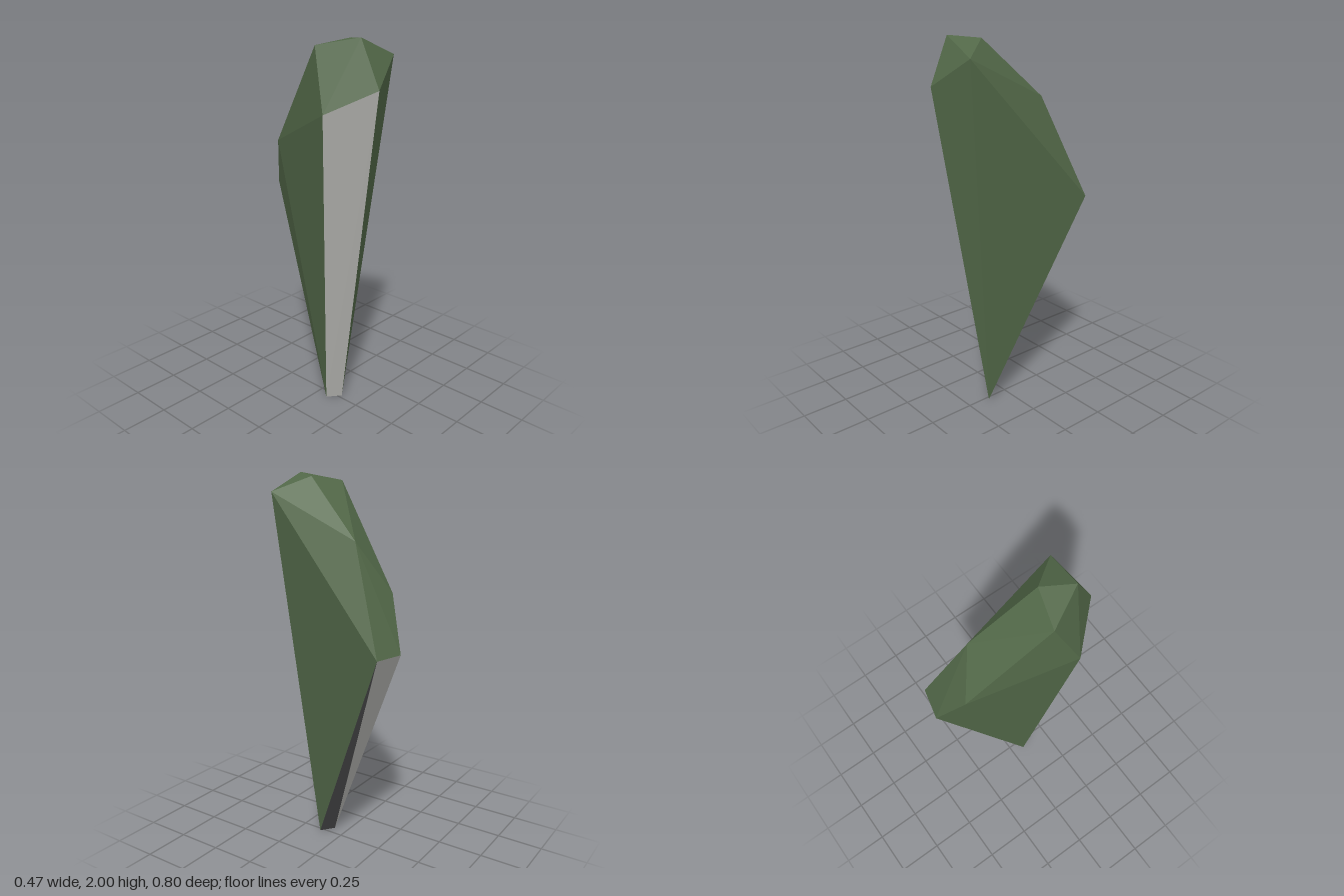
import * as THREE from 'three';

// Corners of the faceted shard, one letter each
const corners = {
  A: [0.075, 1.155, -0.403], B: [0.235, 1.155, -0.365],
  C: [-0.04, 1.43, -0.284], D: [0.105, 1.69, -0.155],
  E: [-0.165, 1.96, 0.102], F: [0.025, 1.985, 0.16],
  G: [-0.235, 1.66, 0.215], H: [-0.065, 2.0, 0.295],
  I: [0.147, 1.91, 0.322], J: [-0.057, 1.77, 0.401],
  P: [-0.05, 0, 0.075], Q: [0.02, 0, 0.13],
};

// Flat-shaded facets from corner triples, each turned to face away from the core
function facets(triples) {
  const core = new THREE.Vector3(0, 1.4, 0.08);
  const points = [];
  for (const triple of triples.split(' ')) {
    const [a, b, c] = [...triple].map((k) => new THREE.Vector3(...corners[k]));
    const normal = b.clone().sub(a).cross(c.clone().sub(a));
    points.push(...(normal.dot(a.clone().sub(core)) > 0 ? [a, b, c] : [a, c, b]));
  }
  const geometry = new THREE.BufferGeometry().setFromPoints(points);
  geometry.computeVertexNormals();
  return geometry;
}

export function createModel() {
  const green = new THREE.MeshStandardMaterial({ name: 'moss green', color: 0x526848 });
  const pale = new THREE.MeshStandardMaterial({ name: 'pale grey', color: 0xb0b0ac });
  const dark = new THREE.MeshStandardMaterial({ name: 'dark grey', color: 0x464648 });

  const group = new THREE.Group();
  group.name = 'shard';
  const add = (name, triples, material) => {
    const mesh = new THREE.Mesh(facets(triples), material);
    mesh.name = name;
    group.add(mesh);
  };

  // Rounded top and the sloping back ridge
  add('crown', 'EHG GHJ HJI HIF EHF', green);
  add('ridge', 'EFD EDC DCA DAB FID IDB', green);
  // Long sides tapering to the foot
  add('leftSide', 'IBQ IJQ', green);
  add('rightSide', 'GEC GCP CAP', green);
  // Bare grey cut faces
  add('frontCut', 'JGP JPQ', pale);
  add('backCut', 'ABP', pale);
  add('underCut', 'BQP', dark);
  return group;
}
